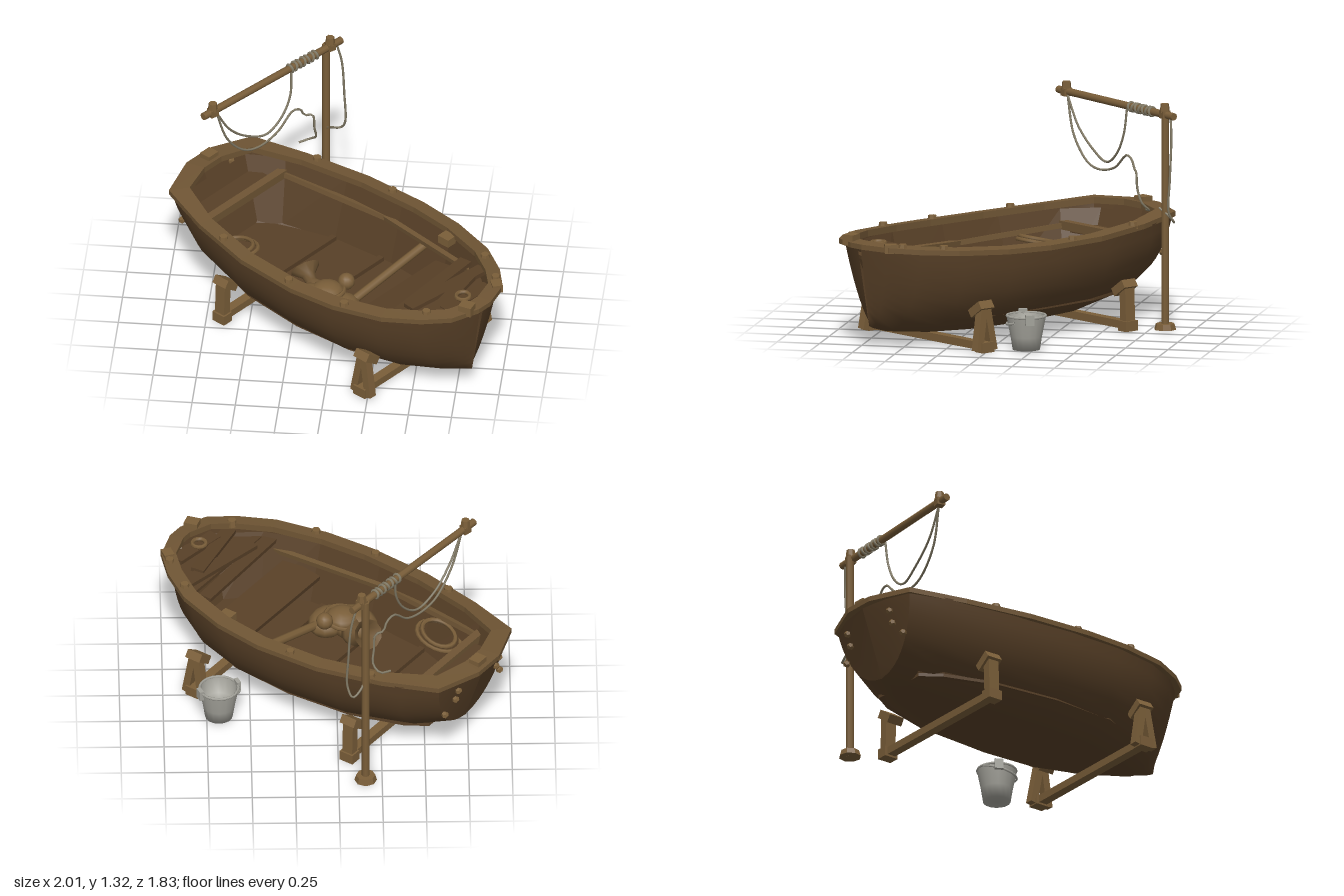
import * as THREE from 'three';

const mat = (name, color, side = THREE.FrontSide) => {
  const m = new THREE.MeshStandardMaterial({ color, side });
  m.name = name;
  return m;
};
const V = (x, y, z) => new THREE.Vector3(x, y, z);
const outline = (pts) => new THREE.Shape(pts.map((p) => new THREE.Vector2(...p)));
const lathe = (pts, n) => new THREE.LatheGeometry(pts.map((p) => new THREE.Vector2(...p)), n);
// Closes a half outline by mirroring it across the keel line
const mirror = (half) => [...half, ...half.slice().reverse().map(([u, v]) => [u, -v])];

export function createModel() {
  const hullWood = mat('dark hull wood', 0x584027, THREE.DoubleSide);
  const trimWood = mat('light trim wood', 0x7a5e39);
  const rimMat = mat('rim wood', 0x6f5534, THREE.DoubleSide);
  const ropeMat = mat('rope', 0x857d68);
  const metal = mat('bucket metal', 0xa3a29a, THREE.DoubleSide);

  const model = new THREE.Group();
  const boat = new THREE.Group();
  boat.name = 'boat';
  boat.position.set(0.04, 0, 0.1);
  boat.rotation.y = -0.634;
  model.add(boat);

  const add = (parent, name, geo, m, pos = [0, 0, 0], rot = [0, 0, 0]) => {
    const mesh = new THREE.Mesh(geo, m);
    mesh.name = name;
    mesh.position.set(...pos);
    mesh.rotation.set(...rot);
    parent.add(mesh);
    return mesh;
  };
  const box = (parent, name, size, pos, m = trimWood, rot) =>
    add(parent, name, new THREE.BoxGeometry(...size), m, pos, rot);
  const flat = (geo) => {
    const g = geo.toNonIndexed();
    g.computeVertexNormals();
    return g;
  };
  // Straight timber between two points: round when r is given, else square w x d
  const beam = (parent, name, a, b, { r, w, d = w }, m = trimWood) => {
    const dir = b.clone().sub(a), len = dir.length();
    const geo = r ? new THREE.CylinderGeometry(r, r, len, 8) : new THREE.BoxGeometry(w, len, d);
    const mesh = add(parent, name, geo, m, a.clone().lerp(b, 0.5).toArray());
    mesh.quaternion.setFromUnitVectors(V(0, 1, 0), dir.normalize());
    return mesh;
  };
  const rope = (parent, name, pts, r = 0.007) =>
    add(parent, name, new THREE.TubeGeometry(
      new THREE.CatmullRomCurve3(pts.map((p) => V(...p))), 48, r, 5), ropeMat);

  // Hull stations: top u, keel u, half width, rim height, keel height, vee amount
  const stations = [
    [-1.02, -0.96, 0.345, 0.60, 0.19, 0.25], [-0.8, -0.76, 0.44, 0.58, 0.12, 0.1],
    [-0.4, -0.38, 0.52, 0.56, 0.065, 0], [0, 0, 0.55, 0.55, 0.05, 0],
    [0.35, 0.35, 0.53, 0.55, 0.05, 0], [0.65, 0.65, 0.45, 0.57, 0.06, 0.08],
    [0.88, 0.86, 0.32, 0.59, 0.085, 0.25], [1.02, 0.96, 0.18, 0.61, 0.115, 0.55],
    [1.07, 0.99, 0.015, 0.62, 0.13, 1]];
  const N = 20;
  const section = ([ut, ub, w, rim, keel, k]) => Array.from({ length: N + 1 }, (_, j) => {
    const t = (j / N) * 2 - 1, s = Math.abs(t), a = s * Math.PI / 2;
    const z = THREE.MathUtils.lerp(Math.sin(a) ** 0.76, s, k);
    const h = THREE.MathUtils.lerp(1 - Math.cos(a), s, k);
    return [ut * h + ub * (1 - h), keel + (rim - keel) * h, Math.sign(t) * z * w];
  });
  const surface = (rows, closed = false) => {
    const n = rows[0].length, idx = [];
    const last = closed ? rows.length : rows.length - 1;
    for (let i = 0; i < last; i++) for (let j = 0; j < n - 1; j++) {
      const a = i * n + j, b = ((i + 1) % rows.length) * n + j;
      idx.push(a, a + 1, b, b, a + 1, b + 1);
    }
    const g = new THREE.BufferGeometry();
    g.setAttribute('position', new THREE.Float32BufferAttribute(rows.flat(2), 3));
    g.setIndex(idx);
    g.computeVertexNormals();
    return g;
  };
  add(boat, 'hull', surface(stations.map(section)), hullWood);
  // Transom bulges aft between the hull corners
  const sternRow = section(stations[0]);
  add(boat, 'transom', surface([[0, 0.08], [0.55, 0.055], [1, 0]].map(([f, bulge]) =>
    sternRow.map(([x, y, z]) => [x - bulge * (y - 0.19) / 0.41, y, z * f]))), hullWood);

  // Inner lining from the rim down to the floor edge
  const liningTop = mirror([[-1.0, 0.26], [-0.8, 0.39], [-0.4, 0.475], [0, 0.505], [0.4, 0.48], [0.72, 0.36], [0.95, 0.18]]);
  const floorEdge = mirror([[-0.84, 0.19], [-0.72, 0.27], [-0.4, 0.37], [0, 0.405], [0.4, 0.375], [0.66, 0.26], [0.82, 0.1]]);
  add(boat, 'lining', flat(surface(floorEdge.map(([u, v], i) =>
    [[u, 0.19, v], [liningTop[i][0], 0.56, liningTop[i][1]]]), true)), hullWood);

  // Floor boards and ribs
  add(boat, 'floor', new THREE.ExtrudeGeometry(outline(floorEdge), { depth: 0.02, bevelEnabled: false }),
    hullWood, [0, 0.19, 0], [Math.PI / 2, 0, 0]);
  for (const [u, w] of [[-0.4, 0.36], [-0.06, 0.39], [0.3, 0.37]])
    box(boat, 'floorRib', [0.035, 0.035, w * 2], [u, 0.2, 0], hullWood);

  // Gunwale: rectangular band swept round the rim outline
  const loop = mirror([[-1.13, 0.1], [-1.03, 0.36], [-0.7, 0.47], [-0.3, 0.555], [0.1, 0.575],
    [0.4, 0.545], [0.7, 0.46], [0.9, 0.34], [1.03, 0.22], [1.09, 0.05]]);
  const rimY = (u) => 0.566 + 0.04 * u * u;
  const rimRows = loop.map(([u, v], i) => {
    const p = loop.at(i - 1), q = loop[(i + 1) % loop.length];
    const tx = q[0] - p[0], tz = q[1] - p[1], l = Math.hypot(tx, tz);
    const wide = u < -1 ? 0.12 : 0.085;
    const iu = u + (tz / l) * wide, iv = v - (tx / l) * wide, y = rimY(u);
    return [[u, y - 0.02, v], [u, y + 0.01, v], [iu, y + 0.018, iv], [iu, y - 0.02, iv], [u, y - 0.02, v]];
  });
  add(boat, 'gunwale', flat(surface(rimRows, true)), rimMat);

  // Pegs on the rim and a block at each end
  for (const [u, v] of [[-0.1, -0.53], [0.05, 0.53], [-0.5, 0.48], [-0.62, -0.46], [0.45, 0.5],
    [0.88, 0.27], [0.95, -0.25], [0.75, -0.38]])
    add(boat, 'rimPeg', flat(new THREE.CylinderGeometry(0.024, 0.03, 0.04, 7)), trimWood, [u, rimY(u) + 0.015, v]);
  box(boat, 'bowBlock', [0.08, 0.06, 0.07], [1.04, 0.63, 0.1], trimWood, [0, 0.3, 0]);
  box(boat, 'bowBlock', [0.07, 0.05, 0.06], [1.0, 0.61, -0.2], trimWood, [0, -0.6, 0]);
  box(boat, 'sternBlock', [0.07, 0.06, 0.08], [-1.07, 0.63, -0.03]);
  for (const s of [-1, 1]) {
    // Studs on the transom
    for (const [u, y, v] of [[-1.055, 0.52, 0.2], [-1.035, 0.45, 0.2], [-1.01, 0.37, 0.27]])
      add(boat, 'transomStud', new THREE.DodecahedronGeometry(0.022), trimWood, [u, y, s * v]);
    // Inner stringers
    beam(boat, 'stringer', V(-0.85, 0.47, s * 0.35), V(-0.1, 0.43, s * 0.47), { w: 0.03 }, rimMat);
    beam(boat, 'stringer', V(-0.1, 0.43, s * 0.47), V(0.65, 0.46, s * 0.37), { w: 0.03 }, rimMat);
  }

  // Thwarts, stern seat and cross pole
  box(boat, 'bowBench', [0.24, 0.03, 0.8], [0.47, 0.38, 0], hullWood, [0, 0, 0.15]);
  box(boat, 'sternSeat', [0.18, 0.03, 0.58], [-0.88, 0.45, 0], hullWood);
  beam(boat, 'sternBeam', V(-0.8, 0.47, -0.38), V(-0.8, 0.47, 0.38), { w: 0.05 }, rimMat);
  beam(boat, 'crossPole', V(0.22, 0.4, -0.45), V(0.15, 0.23, 0.34), { r: 0.025 });
  box(boat, 'cleat', [0.08, 0.05, 0.07], [0.42, 0.55, -0.42]);

  // Foredeck of loosely laid boards
  const deck = outline(mirror([[0.72, 0.34], [0.97, 0.16], [1.03, 0.02]]));
  add(boat, 'foredeck', new THREE.ExtrudeGeometry(deck, { depth: 0.02, bevelEnabled: false }),
    hullWood, [0, 0.54, 0], [Math.PI / 2, 0, 0]);
  for (const [u, y, v, len, turn] of [[0.66, 0.53, 0.02, 0.72, 0.06], [0.75, 0.56, -0.04, 0.56, -0.14],
    [0.84, 0.575, 0.03, 0.46, 0.2], [0.93, 0.585, -0.02, 0.34, -0.1]])
    box(boat, 'deckBoard', [0.08, 0.025, len], [u, y, v], hullWood, [0.03, turn, 0.05]);
  add(boat, 'deckRing', new THREE.TorusGeometry(0.04, 0.013, 5, 12), trimWood, [0.92, 0.61, 0], [Math.PI / 2, 0, 0]);

  // Coil of rope on the stern side
  for (let i = 0; i < 2; i++) {
    const coil = add(boat, 'ropeCoil', new THREE.TorusGeometry(0.11 - i * 0.02, 0.012, 5, 20), trimWood,
      [-0.56, 0.4 + i * 0.02, 0.3], [Math.PI / 2, 0.25, 0.3 * i]);
    coil.scale.x = 1.25;
  }

  // Cargo: sacks and a flared jug lying against them
  const cargo = new THREE.Group();
  cargo.name = 'cargo';
  cargo.position.set(0.03, 0.19, 0.2);
  boat.add(cargo);
  for (const [x, y, z, sx, sy, sz] of [[-0.02, 0.08, 0.06, 0.15, 0.1, 0.12], [0.12, 0.07, 0.0, 0.11, 0.08, 0.13],
    [0.02, 0.14, 0, 0.1, 0.06, 0.1], [0.06, 0.17, -0.12, 0.05, 0.05, 0.05]])
    add(cargo, 'sack', new THREE.SphereGeometry(1, 12, 8), trimWood, [x, y, z]).scale.set(sx, sy, sz);
  add(cargo, 'sackTie', new THREE.TorusGeometry(0.1, 0.014, 5, 16), trimWood, [0.02, 0.14, 0], [Math.PI / 2, 0.2, 0]);
  add(cargo, 'jug', lathe([[0, 0], [0.07, 0.01], [0.08, 0.07], [0.035, 0.12], [0.04, 0.16], [0.09, 0.21]], 10),
    rimMat, [-0.04, 0.06, 0.0], [-0.6, 0, 0.95]);

  // Cradles under the hull; the forward one stands on splayed legs
  for (const [u, splay] of [[-0.52, 0], [0.57, 0.055]]) {
    const cradle = new THREE.Group();
    cradle.name = 'cradle';
    cradle.position.set(u, 0, -0.03);
    boat.add(cradle);
    beam(cradle, 'cradleBeam', V(0, 0.035, -0.48), V(0, 0.035, 0.48), { w: 0.055, d: 0.045 });
    for (const s of [-1, 1]) {
      box(cradle, 'cradleFoot', [0.09, 0.06, 0.07], [0, 0.031, s * 0.5]);
      for (const side of splay ? [-1, 1] : [0])
        beam(cradle, 'cradleLeg', V(side * splay, 0.01, s * 0.5), V(side * 0.01, 0.27, s * 0.49),
          { w: splay ? 0.045 : 0.07, d: 0.05 });
      box(cradle, 'cradlePad', [0.1, 0.05, 0.11], [0, 0.25, s * 0.47], trimWood, [s * -0.6, 0, 0]);
    }
  }

  // Mast with its arm
  const mast = new THREE.Group();
  mast.name = 'mast';
  model.add(mast);
  add(mast, 'mastBase', flat(new THREE.CylinderGeometry(0.055, 0.065, 0.035, 8)), trimWood, [-0.155, 0.018, -0.835]);
  beam(mast, 'mastPost', V(-0.155, 0, -0.835), V(-0.155, 1.27, -0.835), { r: 0.023 });
  const armA = V(-0.79, 1.265, -0.06), armB = V(-0.075, 1.258, -0.905);
  beam(mast, 'arm', armA, armB, { r: 0.022 });
  for (const t of [0.07, 0.92]) {
    const p = armA.clone().lerp(armB, t);
    add(mast, 'armKnob', flat(new THREE.CylinderGeometry(0.024, 0.03, 0.05, 7)), trimWood, [p.x, 1.298, p.z]);
    box(mast, 'armCollar', [0.05, 0.045, 0.05], [p.x, 1.26, p.z], trimWood, [0, 0.7, 0]);
  }

  // Rope wound round the arm, and the hanging lines
  const armDir = armB.clone().sub(armA).normalize();
  for (let i = 0; i < 7; i++) {
    const p = armA.clone().lerp(armB, 0.63 + i * 0.03);
    const wrap = add(mast, 'ropeWrap', new THREE.TorusGeometry(0.024, 0.009, 5, 12), ropeMat, p.toArray());
    wrap.quaternion.setFromUnitVectors(V(0, 0, 1), armDir);
    wrap.rotateX(i % 2 ? 0.25 : -0.15);
  }
  rope(mast, 'shortLine', [[-0.72, 1.25, -0.13], [-0.65, 1.08, -0.21], [-0.56, 0.96, -0.32], [-0.46, 0.91, -0.42],
    [-0.38, 0.98, -0.5], [-0.335, 1.1, -0.55], [-0.33, 1.25, -0.57]]);
  rope(mast, 'longLine', [[-0.72, 1.25, -0.13], [-0.66, 1.03, -0.18], [-0.57, 0.89, -0.28], [-0.49, 0.86, -0.37],
    [-0.4, 0.89, -0.48], [-0.32, 0.98, -0.57], [-0.28, 0.96, -0.61], [-0.26, 0.91, -0.63], [-0.215, 0.9, -0.65],
    [-0.205, 0.8, -0.66], [-0.2, 0.72, -0.69], [-0.24, 0.68, -0.72], [-0.3, 0.67, -0.69]]);
  rope(mast, 'tailLine', [[-0.1, 1.25, -0.88], [-0.07, 1.12, -0.89], [-0.055, 0.9, -0.885], [-0.05, 0.7, -0.88],
    [-0.08, 0.64, -0.905], [-0.13, 0.67, -0.86], [-0.15, 0.71, -0.8]]);

  // Bucket
  const bucket = new THREE.Group();
  bucket.name = 'bucket';
  bucket.position.set(0.68, 0, -0.205);
  model.add(bucket);
  add(bucket, 'bucketBody', lathe([[0, 0.003], [0.08, 0.003], [0.092, 0.08], [0.117, 0.205], [0.107, 0.205],
    [0.09, 0.1], [0, 0.1]], 16), metal);
  add(bucket, 'bucketRim', new THREE.TorusGeometry(0.112, 0.008, 6, 20), metal, [0, 0.2, 0], [Math.PI / 2, 0, 0]);
  for (const a of [0.4, 0.4 + Math.PI])
    box(bucket, 'bucketLug', [0.025, 0.06, 0.05], [0.117 * Math.cos(a), 0.19, -0.117 * Math.sin(a)], metal, [0, a, 0]);
  add(bucket, 'bucketHandle', new THREE.TorusGeometry(0.118, 0.007, 5, 20, Math.PI), metal, [0, 0.18, 0], [Math.PI / 2 + 0.25, 0, 0.4]);
  return model;
}
